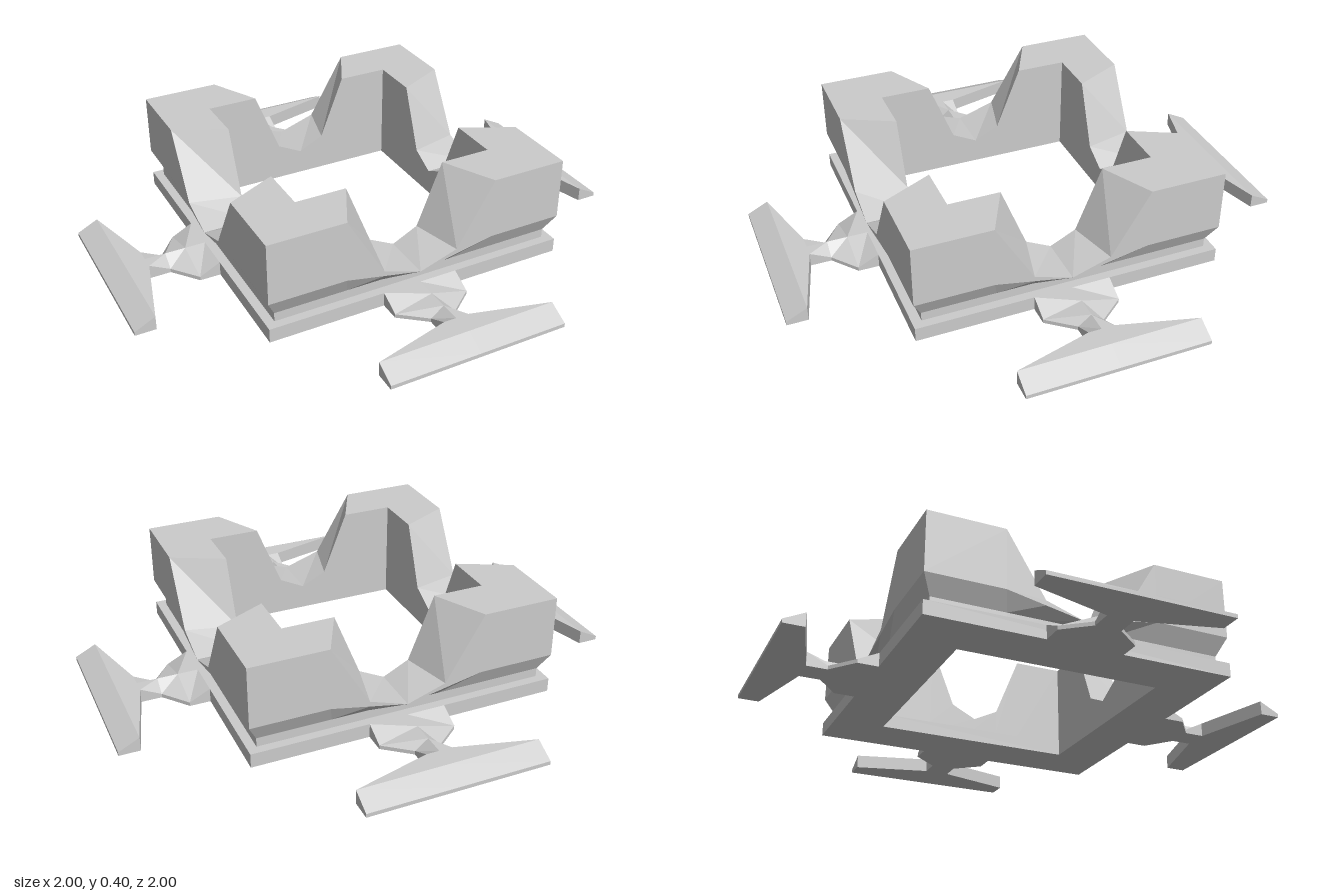
import * as THREE from 'three';

const material = new THREE.MeshStandardMaterial({ color: 0xcccccc, flatShading: true });

// Joins equal-sized closed cross-sections; either rings them round or caps the last one.
function loft(sections, ring) {
  const n = sections[0].length, count = sections.length, index = [];
  const at = (i, j) => (i % count) * n + (j % n);
  for (let i = 0; i < (ring ? count : count - 1); i++)
    for (let j = 0; j < n; j++) {
      index.push(at(i, j), at(i + 1, j), at(i + 1, j + 1));
      index.push(at(i, j), at(i + 1, j + 1), at(i, j + 1));
    }
  if (!ring)
    for (let j = 1; j < n - 1; j++) index.push(at(count - 1, 0), at(count - 1, j + 1), at(count - 1, j));
  const indexed = new THREE.BufferGeometry();
  indexed.setAttribute('position', new THREE.Float32BufferAttribute(sections.flat(2), 3));
  indexed.setIndex(index);
  const geometry = indexed.toNonIndexed();
  geometry.computeVertexNormals();
  return geometry;
}

function addMesh(group, name, geometry) {
  const mesh = new THREE.Mesh(geometry, material);
  mesh.name = name;
  group.add(mesh);
  return mesh;
}

// Square base slab with a square opening
function baseGeometry() {
  const square = (path, r) => path.moveTo(-r, -r).lineTo(r, -r).lineTo(r, r).lineTo(-r, r).closePath();
  const shape = square(new THREE.Shape(), 0.6);
  shape.holes.push(square(new THREE.Path(), 0.4));
  return new THREE.ExtrudeGeometry(shape, { depth: 0.055, bevelEnabled: false }).rotateX(-Math.PI / 2);
}

// Square wall ring: tall corners, a notch in the middle of each side, undercut outer foot
function wallGeometry() {
  // sideways position as a share of depth, top height, height where the undercut starts
  const stations = [[-1, 0.4, 0.16], [-0.5, 0.4, 0.16], [-0.25, 0.15, 0.13],
    [0, 0.1, 0.1], [0.25, 0.15, 0.13], [0.5, 0.4, 0.16]];
  const sections = [];
  for (let side = 0; side < 4; side++) {
    const c = Math.round(Math.cos(side * Math.PI / 2)), s = Math.round(Math.sin(side * Math.PI / 2));
    for (const [k, top, foot] of stations) {
      const profile = [[0.4, 0.055], [0.565, 0.055], [0.565, 0.09], [0.6, foot], [0.6, top], [0.4, top]];
      sections.push(profile.map(([r, y]) => [k * r * c + r * s, y, r * c - k * r * s]));
    }
  }
  return loft(sections, true);
}

// Ridged arm that narrows to a neck and flares into a wide bar
function armGeometry() {
  // z, half width, edge height, ridge height
  const stations = [[0.6, 0.15, 0.055, 0.055], [0.68, 0.15, 0.015, 0.055], [0.76, 0.05, 0.015, 0.055],
    [0.84, 0.05, 0.055, 0.055], [0.92, 0.35, 0.055, 0.055], [1, 0.35, 0.015, 0.015]];
  return loft(stations.map(([z, w, edge, ridge]) =>
    [[0, ridge, z], [w, edge, z], [w, 0, z], [-w, 0, z], [-w, edge, z]]), false);
}

export function createModel() {
  const model = new THREE.Group();
  model.name = 'notchedSquareRing';
  addMesh(model, 'baseSlab', baseGeometry());
  addMesh(model, 'notchedWall', wallGeometry());
  const arm = armGeometry();
  ['frontArm', 'leftArm', 'backArm', 'rightArm'].forEach((name, i) => {
    addMesh(model, name, arm).rotation.y = i * Math.PI / 2;
  });
  return model;
}
